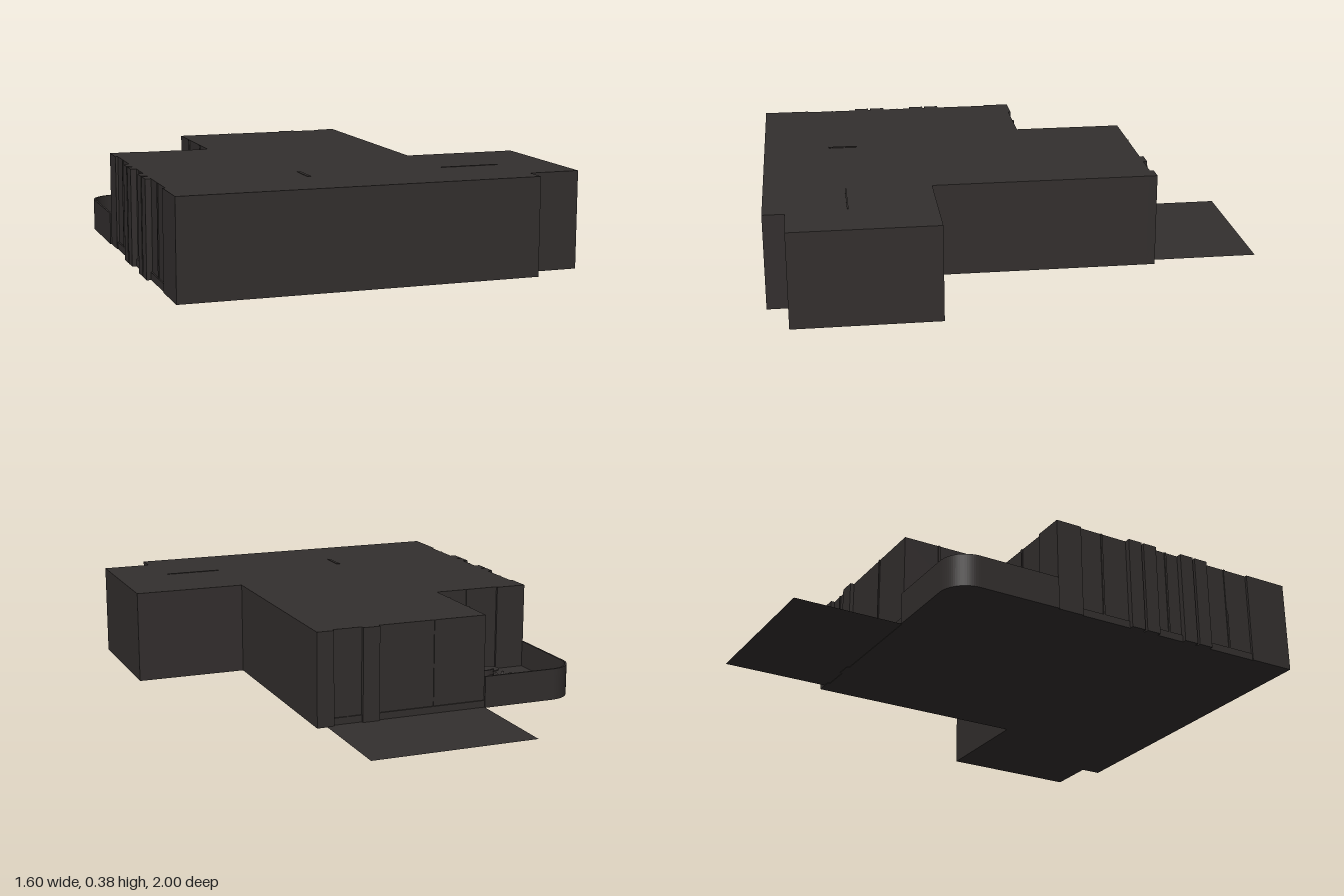
import * as THREE from 'three';

const H = 0.38; // storey height
const dark = new THREE.MeshStandardMaterial({ color: 0x332f2e, side: THREE.DoubleSide });
const flat = new THREE.MeshStandardMaterial({ color: 0x332f2e, side: THREE.DoubleSide, flatShading: true });

function add(parent, name, geometry, x = 0, y = 0, z = 0, material = dark) {
  const mesh = new THREE.Mesh(geometry, material);
  mesh.name = name;
  mesh.position.set(x, y, z);
  parent.add(mesh);
  return mesh;
}

// box given by its extents in x, y and z
function block(parent, name, x0, x1, y0, y1, z0, z1) {
  return add(parent, name, new THREE.BoxGeometry(x1 - x0, y1 - y0, z1 - z0),
    (x0 + x1) / 2, (y0 + y1) / 2, (z0 + z1) / 2);
}

// extrude a plan outline, drawn as x and -z, upwards
function raise(shape, height) {
  return new THREE.ExtrudeGeometry(shape, { depth: height, bevelEnabled: false, curveSegments: 10 })
    .rotateX(-Math.PI / 2);
}

// balcony plan with its rounded outer corner, inset by t
function balconyPlan(t) {
  const l = -0.795 + t, b = 0.56 - t, r = 0.11 - t;
  const s = new THREE.Shape();
  s.moveTo(-0.38, 0.1);
  s.lineTo(-0.38, b);
  s.lineTo(l + r, b);
  s.absarc(l + r, b - r, r, Math.PI / 2, Math.PI, false);
  s.lineTo(l, 0.11);
  s.lineTo(-0.66, 0.11);
  s.lineTo(-0.66, 0.1);
  s.closePath();
  return s;
}

// open parapet following the outer edge of the balcony
function parapetPlan() {
  const s = new THREE.Shape(), t = 0.008, l = -0.795, b = 0.56, r = 0.11;
  s.moveTo(-0.38, b);
  s.lineTo(l + r, b);
  s.absarc(l + r, b - r, r, Math.PI / 2, Math.PI, false);
  s.lineTo(l, 0.11);
  s.lineTo(l + t, 0.11);
  s.lineTo(l + t, b - r);
  s.absarc(l + r, b - r, r - t, Math.PI, Math.PI / 2, true);
  s.lineTo(-0.38, b - t);
  s.closePath();
  return s;
}

function chair(x, z, turn) {
  const g = new THREE.Group();
  g.name = 'tubChair';
  add(g, 'seat', new THREE.CylinderGeometry(0.04, 0.035, 0.018, 20), 0, 0.038, 0);
  // curved back wrapping three quarters of the seat
  const back = new THREE.Shape();
  back.absarc(0, 0, 0.05, -1.9, 1.9, false);
  back.absarc(0, 0, 0.042, 1.9, -1.9, true);
  back.closePath();
  add(g, 'curvedBack', raise(back, 0.055), 0, 0.035, 0);
  for (const sx of [-1, 1]) for (const sz of [-1, 1])
    add(g, 'leg', new THREE.CylinderGeometry(0.003, 0.002, 0.032, 6), sx * 0.025, 0.016, sz * 0.025);
  g.position.set(x, 0.02, z);
  g.rotation.y = turn;
  return g;
}

function plant(x, z) {
  const g = new THREE.Group();
  g.name = 'pottedPlant';
  add(g, 'pot', new THREE.CylinderGeometry(0.025, 0.018, 0.04, 14), 0, 0.02, 0);
  // arching leaves in a spiral
  for (let i = 0; i < 18; i++) {
    const leaf = new THREE.PlaneGeometry(0.014, 0.065, 2, 5);
    const p = leaf.attributes.position;
    for (let k = 0; k < p.count; k++) {
      const u = p.getY(k) / 0.065 + 0.5;
      const width = Math.sin(Math.PI * (0.08 + 0.9 * u));
      p.setXYZ(k, p.getX(k) * width, 0.05 * u - 0.03 * u * u, 0.055 * u);
    }
    leaf.computeVertexNormals();
    const m = add(g, 'leaf', leaf, 0, 0.035 + (i % 3) * 0.008, 0, flat);
    m.rotation.y = i * 2.4;
    m.rotation.x = 0;
    m.scale.y = 0.8 + (i % 3) * 0.5;
  }
  g.position.set(x, 0.02, z);
  return g;
}

export function createModel() {
  const model = new THREE.Group();
  model.name = 'apartmentBlock';

  // main storey
  const plan = [[-0.38, -0.1], [-0.66, -0.1], [-0.66, -0.11], [-0.79, -0.11], [-0.79, 0], [-0.78, 0],
    [-0.78, 0.81], [-0.79, 0.81], [-0.79, 1], [0.6, 1], [0.6, 0.915], [0.8, 0.915], [0.8, 0.34],
    [0.34, 0.34], [0.34, -0.55], [-0.38, -0.55]];
  const outline = new THREE.Shape(plan.map(([x, z]) => new THREE.Vector2(x, -z)));
  add(model, 'mainStorey', raise(outline, H));

  // rear terrace sheet
  const terrace = add(model, 'rearTerrace', new THREE.PlaneGeometry(0.68, 0.45), -0.04, 0.002, -0.775);
  terrace.rotation.x = -Math.PI / 2;

  // side pilasters
  for (const z of [0.215, 0.285, 0.465, 0.535])
    block(model, 'sidePilaster', -0.803, -0.77, 0, H, z, z + 0.06);
  // rear pilasters, sill and window bars
  for (const x of [0.08, 0.27])
    block(model, 'rearPilaster', x, x + 0.07, 0, H, -0.566, -0.53);
  block(model, 'rearSill', -0.38, 0.34, 0, 0.03, -0.556, -0.54);
  for (const x of [-0.16, 0.21])
    block(model, 'rearWindowBar', x - 0.004, x + 0.004, 0.03, H, -0.554, -0.54);
  // side window bars and sill
  block(model, 'sideSill', -0.786, -0.77, 0, 0.03, 0, 0.81);
  for (const z of [0.1, 0.405, 0.7])
    block(model, 'sideWindowBar', -0.784, -0.77, 0.03, H, z - 0.004, z + 0.004);
  // balcony window bars
  for (const z of [-0.4, -0.22])
    block(model, 'balconyWindowBar', -0.385, -0.37, 0.02, H, z - 0.004, z + 0.004);
  block(model, 'balconyWindowBar', -0.524, -0.516, 0.02, H, -0.105, -0.09);

  // roof slots
  block(model, 'roofSlot', -0.222, -0.208, H - 0.01, H + 0.002, 0.61, 0.73);
  block(model, 'roofSlot', 0.34, 0.575, H - 0.01, H + 0.002, 0.676, 0.682);

  // balcony
  const balcony = new THREE.Group();
  balcony.name = 'balcony';
  add(balcony, 'balconyFloor', raise(balconyPlan(0.002), 0.02));
  add(balcony, 'parapet', raise(parapetPlan(), 0.13));
  balcony.add(chair(-0.465, -0.365, 0.5), chair(-0.465, -0.205, -0.5), plant(-0.495, -0.48));
  // round side table
  add(balcony, 'tableTop', new THREE.CylinderGeometry(0.038, 0.038, 0.005, 28), -0.54, 0.075, -0.285);
  add(balcony, 'tableStem', new THREE.CylinderGeometry(0.005, 0.005, 0.055, 10), -0.54, 0.047, -0.285);
  add(balcony, 'tableFoot', new THREE.CylinderGeometry(0.022, 0.024, 0.004, 20), -0.54, 0.022, -0.285);
  model.add(balcony);

  return model;
}
